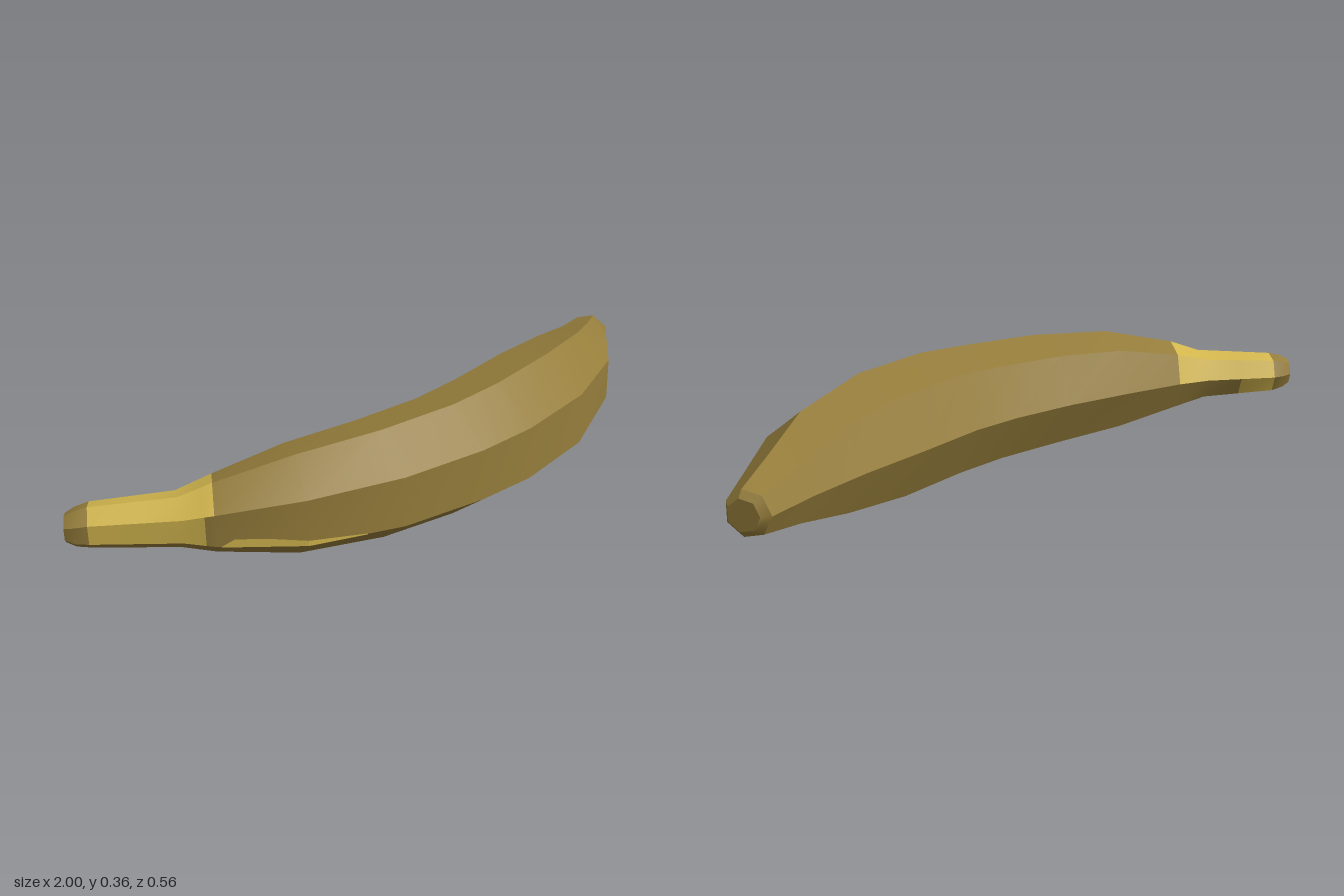
import * as THREE from 'three';
import { toCreasedNormals } from 'three/addons/utils/BufferGeometryUtils.js';

const SIDES = 7;

// Each ring: front x, front z, back x, back z, centre height (stem to tip)
const RINGS = [
  [-0.998, -0.222, -0.955, -0.283, 0.172],
  [-0.983, -0.2, -0.927, -0.283, 0.171],
  [-0.955, -0.178, -0.889, -0.274, 0.171],
  [-0.77, -0.03, -0.705, -0.16, 0.172],
  [-0.71, 0.03, -0.6, -0.137, 0.176],
  [-0.515, 0.16, -0.4, -0.105, 0.179],
  [-0.255, 0.247, -0.2, -0.07, 0.178],
  [0, 0.28, 0, -0.055, 0.178],
  [0.185, 0.281, 0.155, -0.065, 0.18],
  [0.455, 0.23, 0.375, -0.105, 0.18],
  [0.725, 0.103, 0.59, -0.143, 0.182],
  [0.89, -0.045, 0.78, -0.187, 0.183],
  [0.992, -0.137, 0.93, -0.236, 0.185],
  [0.999, -0.155, 0.955, -0.224, 0.185],
];

// Corner k of ring i: a regular heptagon with one corner at the back
function corner(i, k) {
  const [fx, fz, bx, bz, y] = RINGS[i];
  const front = new THREE.Vector3(fx, y, fz);
  const back = new THREE.Vector3(bx, y, bz);
  const flat = Math.cos(Math.PI / SIDES);
  const width = front.distanceTo(back);
  const r = width / (1 + flat);
  const out = front.clone().sub(back).normalize();
  const a = ((k + 0.5) * 2 * Math.PI) / SIDES;
  return back.addScaledVector(out, r * (1 + Math.cos(a))).setY(y + r * Math.sin(a));
}

// Point on the skin at fractional ring s and fractional corner k
function skin(s, k) {
  const i = Math.min(Math.floor(s), RINGS.length - 2);
  const j = Math.floor(k);
  const along = (c) => corner(i, c).lerp(corner(i + 1, c), s - i);
  return along(j).lerp(along(j + 1), k - j);
}

function triangles(points) {
  return new THREE.BufferGeometry().setFromPoints(points);
}

export function createModel() {
  const peel = new THREE.MeshStandardMaterial({ color: 0x957d3b });
  peel.name = 'brown peel';
  const yellow = new THREE.MeshStandardMaterial({ color: 0xd2b64e });
  yellow.name = 'yellow stem';

  const model = new THREE.Group();
  model.name = 'banana';

  // Skin facets: each stays yellow along the stem up to its own limit
  const last = RINGS.length - 1;
  const steps = [...RINGS.keys(), 2.5, 3.7].sort((a, b) => a - b);
  const yellowEnd = [4, 4, 4, 2.5, 0, 0, 3.7];
  const brownPoints = [];
  const yellowPoints = [];
  for (let n = 0; n < steps.length - 1; n++) {
    const s = steps[n], t = steps[n + 1];
    for (let k = 0; k < SIDES; k++) {
      const a = skin(s, k), b = skin(t, k), c = skin(t, k + 1), d = skin(s, k + 1);
      const list = s >= 2 && t <= yellowEnd[k] ? yellowPoints : brownPoints;
      list.push(a, b, c, a, c, d);
    }
  }

  // Flat caps at both ends
  for (const i of [0, last]) {
    const middle = new THREE.Vector3();
    for (let k = 0; k < SIDES; k++) middle.addScaledVector(corner(i, k), 1 / SIDES);
    for (let k = 0; k < SIDES; k++) {
      const p = corner(i, k), q = corner(i, k + 1);
      brownPoints.push(middle, ...(i === 0 ? [p, q] : [q, p]));
    }
  }

  // Ridges stay sharp while the length is smooth
  const geometry = triangles([...brownPoints, ...yellowPoints]);
  geometry.addGroup(0, brownPoints.length, 0);
  geometry.addGroup(brownPoints.length, yellowPoints.length, 1);
  const body = new THREE.Mesh(toCreasedNormals(geometry, 0.6), [peel, yellow]);
  body.name = 'bananaSkin';
  model.add(body);

  // Thin yellow streak beside the lower front ridge
  const streakPoints = [];
  const streak = [[4.05, 0.02], [4.2, 0.24], [4.6, 0.2], [5, 0.12], [5.6, 0.02]];
  for (let n = 0; n < streak.length - 1; n++) {
    const [s, u] = streak[n], [t, v] = streak[n + 1];
    const a = skin(s, 6), b = skin(t, 6), c = skin(t, 6 + v), d = skin(s, 6 + u);
    streakPoints.push(a, b, c, a, c, d);
  }
  const streakGeometry = triangles(streakPoints);
  streakGeometry.computeVertexNormals();
  streakGeometry.translate(-0.001, 0, 0.003);
  const streakMesh = new THREE.Mesh(streakGeometry, yellow);
  streakMesh.name = 'yellowStreak';
  model.add(streakMesh);

  return model;
}
